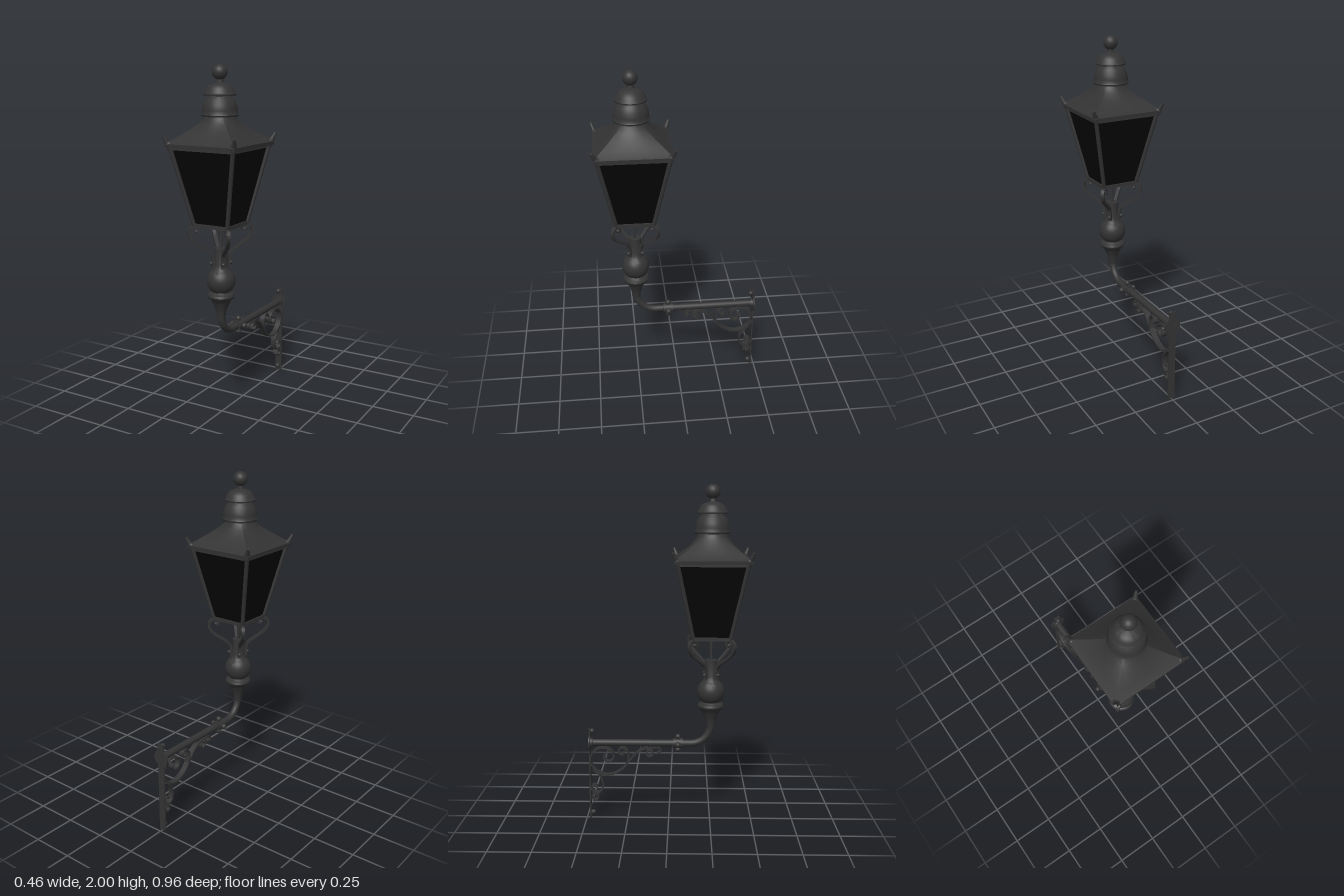
import * as THREE from 'three';
import { toCreasedNormals } from 'three/addons/utils/BufferGeometryUtils.js';

const iron = new THREE.MeshStandardMaterial({ color: 0x333333 });
iron.name = 'blackened iron';
const pane = new THREE.MeshStandardMaterial({ color: 0x050505, side: THREE.DoubleSide });
pane.name = 'dark glass';

const V = (x, y, z) => new THREE.Vector3(x, y, z);

function add(parent, name, geo, mat = iron) {
  const mesh = new THREE.Mesh(geo, mat);
  mesh.name = name;
  parent.add(mesh);
  return mesh;
}

// Round turned part from [radius, y] pairs
function turned(profile, crease = 0.7) {
  const geo = new THREE.LatheGeometry(profile.map(p => new THREE.Vector2(p[0], p[1])), 40);
  return toCreasedNormals(geo, crease);
}

// Lathe pushed out to a square plan; each row is [half width, y, roundness 0..1]
function squared(rows, segments = 8) {
  const geo = new THREE.LatheGeometry(rows.map(r => new THREE.Vector2(r[0], r[1])), segments);
  const pos = geo.attributes.position;
  for (let i = 0; i < pos.count; i++) {
    const x = pos.getX(i), z = pos.getZ(i), r = Math.hypot(x, z);
    if (r < 1e-6) continue;
    const round = rows[i % rows.length][2] || 0;
    const k = THREE.MathUtils.lerp(r / Math.max(Math.abs(x), Math.abs(z)), 1, round);
    pos.setX(i, x * k);
    pos.setZ(i, z * k);
  }
  return toCreasedNormals(geo, 0.5);
}

// Straight bar between two points
function bar(a, b, r0, r1 = r0, sides = 12) {
  const d = b.clone().sub(a);
  const geo = new THREE.CylinderGeometry(r1, r0, d.length(), sides);
  geo.applyQuaternion(new THREE.Quaternion().setFromUnitVectors(V(0, 1, 0), d.normalize()));
  const m = a.clone().add(b).multiplyScalar(0.5);
  return geo.translate(m.x, m.y, m.z);
}

// Flat bent strip following 2D points, centred across its width
function strip(points, thick, width) {
  const curve = new THREE.SplineCurve(points.map(p => new THREE.Vector2(p[0], p[1])));
  const n = points.length * 6, left = [], right = [];
  for (let i = 0; i <= n; i++) {
    const p = curve.getPoint(i / n), t = curve.getTangent(i / n);
    const off = new THREE.Vector2(-t.y, t.x).multiplyScalar(thick / 2);
    left.push(p.clone().add(off));
    right.unshift(p.clone().sub(off));
  }
  const shape = new THREE.Shape(left.concat(right));
  const geo = new THREE.ExtrudeGeometry(shape, { depth: width, bevelEnabled: false });
  return toCreasedNormals(geo.translate(0, 0, -width / 2), 0.7);
}

const ball = (r, x, y, z) => new THREE.SphereGeometry(r, 20, 14).translate(x, y, z);

function buildLantern() {
  const g = new THREE.Group();
  g.name = 'lantern';

  // Roof: square eaves flowing into a round neck
  add(g, 'roof', squared([
    [0, 1.562], [0.216, 1.562], [0.218, 1.582], [0.205, 1.59], [0.172, 1.617, 0.06],
    [0.135, 1.65, 0.25], [0.105, 1.683, 0.6], [0.085, 1.71, 0.9], [0.076, 1.735, 1]], 48));

  // Vented dome, cap and finial
  add(g, 'dome', turned([
    [0.07, 1.722], [0.1, 1.724], [0.104, 1.733], [0.098, 1.743], [0.098, 1.757],
    [0.093, 1.785], [0.08, 1.812], [0.06, 1.83], [0.05, 1.845]]));
  add(g, 'cap', turned([
    [0.05, 1.832], [0.088, 1.835], [0.09, 1.843], [0.082, 1.852], [0.075, 1.872],
    [0.058, 1.89], [0.035, 1.898], [0.02, 1.903], [0.017, 1.925]]));
  add(g, 'finial', ball(0.042, 0, 1.958, 0));

  // Glass box tapering to the base
  add(g, 'glass', squared([[0, 1.132], [0.105, 1.132], [0.19, 1.562]]), pane);

  // Glazing frame, base frame, corner posts and corner horns
  for (let i = 0; i < 4; i++) {
    const side = new THREE.Group();
    side.name = 'frameSide';
    side.rotation.y = i * Math.PI / 2;
    g.add(side);
    add(side, 'cornerPost', bar(V(0.106, 1.125, 0.106), V(0.198, 1.57, 0.198), 0.012));
    add(side, 'baseRail', new THREE.BoxGeometry(0.232, 0.02, 0.02).translate(0, 1.13, 0.106));
    add(side, 'topRail', new THREE.BoxGeometry(0.39, 0.014, 0.014).translate(0, 1.556, 0.193));
    add(side, 'cornerHorn', bar(V(0.195, 1.56, 0.195), V(0.222, 1.628, 0.222), 0.018, 0.008));
    add(side, 'hornFoot', ball(0.02, 0.2, 1.578, 0.2));
  }
  return g;
}

function buildStem() {
  const g = new THREE.Group();
  g.name = 'stem';

  // Turned baluster with a globe
  const globe = [];
  for (let a = -50; a <= 56; a += 8) {
    const t = a * Math.PI / 180;
    globe.push([0.081 * Math.cos(t), 0.8 + 0.081 * Math.sin(t)]);
  }
  add(g, 'baluster', turned([
    [0.022, 0.57], [0.027, 0.61], [0.037, 0.645], [0.052, 0.675], [0.06, 0.69], [0.073, 0.7],
    [0.078, 0.713], [0.073, 0.725], [0.058, 0.732], ...globe,
    [0.042, 0.878], [0.036, 0.895], [0.036, 0.99], [0, 0.99]]));
  add(g, 'centreRod', bar(V(0, 0.98, 0), V(0, 1.13, 0), 0.009));

  // Four scrolled arms on the diagonals
  const armPath = [[0.045, 0.88], [0.046, 0.93], [0.06, 0.965], [0.1, 0.995], [0.155, 1.035],
    [0.181, 1.075], [0.176, 1.108], [0.15, 1.122], [0.127, 1.113], [0.125, 1.093], [0.14, 1.09]];
  const armGeo = strip(armPath, 0.014, 0.02);
  for (let i = 0; i < 4; i++) {
    const arm = new THREE.Group();
    arm.name = 'scrollArm';
    arm.rotation.y = Math.PI / 4 + i * Math.PI / 2;
    g.add(arm);
    add(arm, 'armStrip', armGeo);
    add(arm, 'armBolt', ball(0.011, 0.057, 0.905, 0));
    add(arm, 'armTip', ball(0.011, 0.138, 1.093, 0));
  }
  return g;
}

function buildBracket() {
  const g = new THREE.Group();
  g.name = 'wallBracket';

  // Bent pipe
  const path = new THREE.CurvePath();
  path.add(new THREE.LineCurve3(V(0, 0.63, 0.25), V(0, 0.6, 0.25)));
  path.add(new THREE.CubicBezierCurve3(V(0, 0.6, 0.25), V(0, 0.53, 0.25), V(0, 0.478, 0.2), V(0, 0.478, 0.13)));
  path.add(new THREE.LineCurve3(V(0, 0.478, 0.13), V(0, 0.478, -0.475)));
  add(g, 'pipe', new THREE.TubeGeometry(path, 70, 0.021, 20));

  // Bolted coupling
  add(g, 'coupling', bar(V(0, 0.478, 0.085), V(0, 0.478, 0.027), 0.03, 0.03, 24));
  for (let i = 0; i < 4; i++) {
    const a = i * Math.PI / 2, c = Math.cos(a), s = Math.sin(a);
    add(g, 'couplingBolt', bar(V(0, 0.478, 0.056), V(c * 0.05, 0.478 + s * 0.05, 0.056), 0.01));
    add(g, 'couplingNut', ball(0.017, c * 0.04, 0.478 + s * 0.04, 0.056));
  }

  // Wall plate, rose and fixings
  add(g, 'wallPlate', new THREE.BoxGeometry(0.042, 0.565, 0.008).translate(0, 0.2825, -0.476));
  add(g, 'wallRose', bar(V(0, 0.478, -0.48), V(0, 0.478, -0.472), 0.05, 0.05, 32));
  add(g, 'wallFlange', bar(V(0, 0.478, -0.474), V(0, 0.478, -0.458), 0.031, 0.029, 24));
  for (const y of [0.035, 0.55]) {
    add(g, 'wallBolt', bar(V(0, y, -0.475), V(0, y, -0.46), 0.01));
    add(g, 'wallBoltHead', ball(0.016, 0, y, -0.461));
  }

  // Scrollwork as [z, y] paths
  const scrolls = {
    mainScroll: [[-0.07, 0.42], [-0.052, 0.42], [-0.047, 0.437], [-0.062, 0.452], [-0.1, 0.452],
      [-0.15, 0.442], [-0.195, 0.415], [-0.235, 0.37], [-0.275, 0.32], [-0.325, 0.287], [-0.38, 0.277],
      [-0.435, 0.3], [-0.47, 0.35], [-0.468, 0.4], [-0.435, 0.438], [-0.39, 0.447], [-0.347, 0.43],
      [-0.331, 0.4], [-0.343, 0.37], [-0.372, 0.362], [-0.392, 0.383], [-0.383, 0.405]],
    middleScroll: [[-0.249, 0.352], [-0.242, 0.39], [-0.244, 0.42], [-0.262, 0.445], [-0.285, 0.448],
      [-0.301, 0.43], [-0.295, 0.41], [-0.275, 0.407], [-0.268, 0.422]],
    lowerScroll: [[-0.455, 0.31], [-0.42, 0.275], [-0.4, 0.235], [-0.4, 0.195], [-0.416, 0.168],
      [-0.443, 0.163], [-0.466, 0.18], [-0.465, 0.203], [-0.446, 0.212], [-0.433, 0.196]],
  };
  for (const [name, pts] of Object.entries(scrolls)) {
    add(g, name, strip(pts, 0.009, 0.034).rotateY(-Math.PI / 2));
  }
  // Small closed curls
  for (const [z, y] of [[-0.114, 0.415], [-0.447, 0.136]]) {
    const pts = [];
    for (let i = 0; i <= 10; i++) {
      const a = i * 0.6;
      pts.push([z + 0.019 * Math.cos(a), y + 0.019 * Math.sin(a)]);
    }
    add(g, 'smallCurl', strip(pts, 0.009, 0.034).rotateY(-Math.PI / 2));
  }
  add(g, 'curlTie', bar(V(0, 0.43, -0.13), V(0, 0.46, -0.15), 0.006));
  return g;
}

export function createModel() {
  const model = new THREE.Group();
  model.name = 'wallLamp';
  const lantern = buildLantern(), stem = buildStem();
  lantern.position.z = stem.position.z = 0.25;
  model.add(lantern, stem, buildBracket());
  return model;
}
